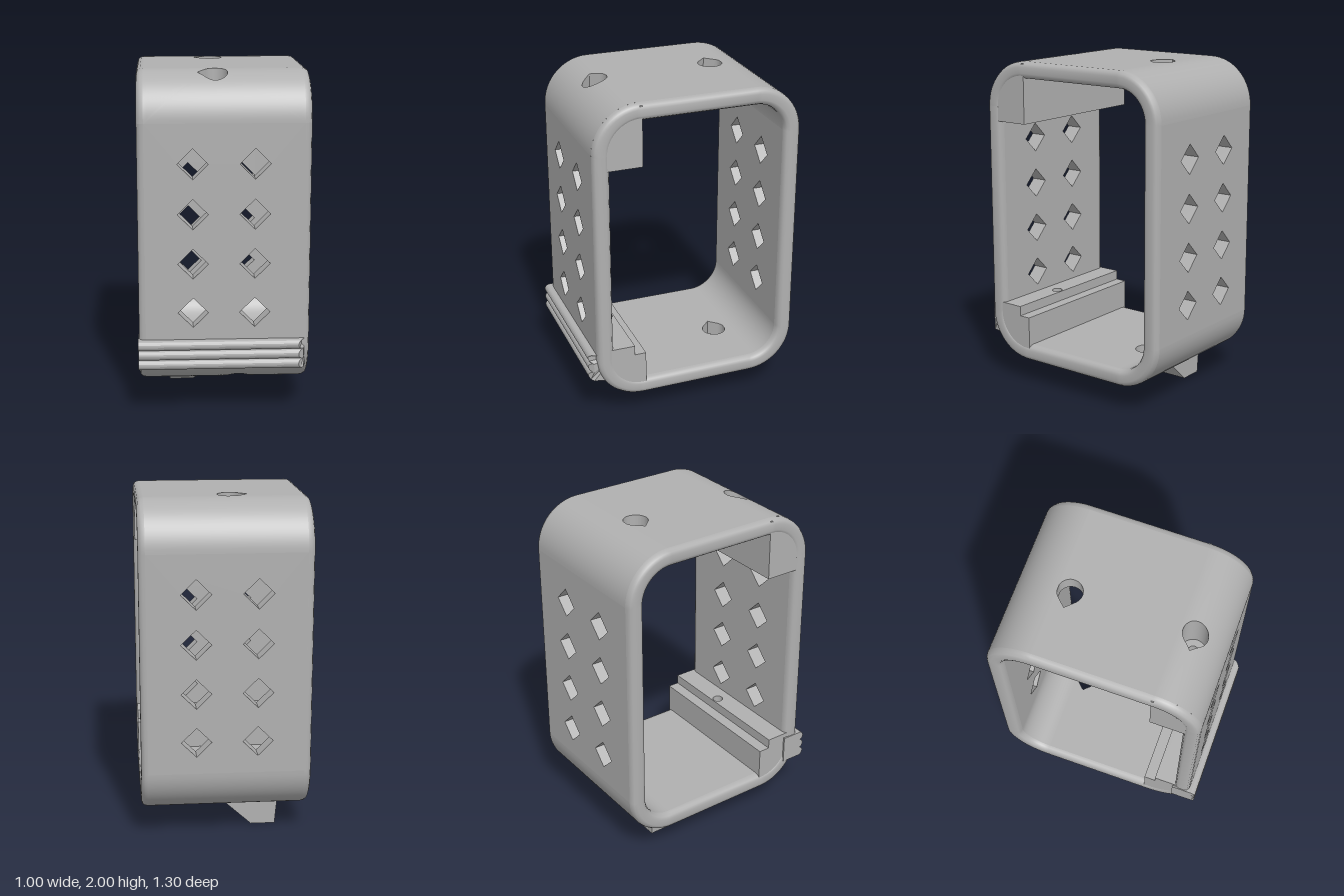
import * as THREE from 'three';

const W = 0.495, EDGE = 0.455, R = 0.28, T = 0.1;      // half width, start of rounded rim, corner radius, wall
const ZF = 0.33, ZB = -0.37, YT = 1.72, YB = 0.43;     // corner centres
const HOLE_R = 0.072, TIP = 0.1;

// Surface through rows of points
function grid(rows) {
  const n = rows[0].length, index = [];
  for (let i = 0; i < rows.length - 1; i++)
    for (let j = 0; j < n - 1; j++) {
      const a = i * n + j, b = a + n;
      index.push(a, b, a + 1, b, b + 1, a + 1);
    }
  const g = new THREE.BufferGeometry().setFromPoints(rows.flat());
  g.setIndex(index);
  g.computeVertexNormals();
  return g;
}

// Sweep a section of [x, inset] points round chosen corners of the frame
function sweep(section, corners, close) {
  const centres = [[ZF, YT], [ZB, YT], [ZB, YB], [ZF, YB]], rows = [];
  for (const c of corners)
    for (let i = 0; i <= 16; i++) {
      const a = (c + i / 16) * Math.PI / 2;
      rows.push(section.map(([x, d]) => new THREE.Vector3(
        x, centres[c][1] + (R - d) * Math.sin(a), centres[c][0] + (R - d) * Math.cos(a))));
    }
  if (close) rows.push(rows[0].map(p => p.clone()));
  return grid(rows);
}

// Distance from teardrop centre to its edge; the point faces -x
function dropRadius(dx, dz) {
  const alpha = Math.acos(HOLE_R / TIP), phi = Math.abs(Math.atan2(dz, -dx));
  return phi < alpha ? HOLE_R / Math.cos(alpha - phi) : HOLE_R;
}

function dropPath(cx, cy) {
  const pts = [];
  for (let i = 0; i < 48; i++) {
    const a = i / 48 * Math.PI * 2, r = dropRadius(Math.cos(a), Math.sin(a));
    pts.push(new THREE.Vector2(cx + r * Math.cos(a), cy + r * Math.sin(a)));
  }
  return new THREE.Path(pts);
}

function rectShape(x0, x1, y0, y1, holes = []) {
  const s = new THREE.Shape([[x0, y0], [x1, y0], [x1, y1], [x0, y1]].map(p => new THREE.Vector2(...p)));
  s.holes.push(...holes);
  return s;
}
const slab = (shape, depth) => new THREE.ExtrudeGeometry(shape, { depth, bevelEnabled: false, curveSegments: 20 });

// Profile of [z, y] points extruded along x
function alongX(points, x0, x1) {
  const g = slab(new THREE.Shape(points.map(([z, y]) => new THREE.Vector2(-z, y))), x1 - x0);
  return g.rotateY(Math.PI / 2).translate(x0, 0, 0);
}

// Curved corner skin with a teardrop bore: skin and bore wall
function boredCorner(cx, cz, up) {
  const H = Math.PI / 2, border = [];
  const height = t => up > 0 ? YT + R * Math.cos(t) : YB - R * Math.cos(t);
  const side = (n, f) => { for (let i = 0; i < n; i++) border.push(f(i / n)); };
  side(72, s => [-EDGE + 2 * EDGE * s, 0]);
  side(24, s => [EDGE, H * s]);
  side(72, s => [EDGE - 2 * EDGE * s, H]);
  side(24, s => [-EDGE, H * (1 - s)]);
  border.push(border[0]);
  const skin = [], wall = [];
  for (const [bx, bt] of border) {
    const dx = bx - cx, dz = ZF + R * Math.sin(bt) - cz, len = Math.hypot(dx, dz);
    const r = dropRadius(dx, dz), hx = cx + dx / len * r, hz = cz + dz / len * r;
    const ht = Math.asin(Math.min(1, Math.max(0, (hz - ZF) / R)));
    const row = [];
    for (let k = 0; k <= 16; k++) {
      const t = ht + (bt - ht) * k / 16;
      row.push(new THREE.Vector3(hx + (bx - hx) * k / 16, height(t), ZF + R * Math.sin(t)));
    }
    skin.push(row);
    wall.push([row[0].clone(), new THREE.Vector3(hx, up > 0 ? YT : YB, hz)]);
  }
  return [grid(skin), grid(wall)];
}

export function createModel() {
  const model = new THREE.Group();
  model.name = 'mountingFrame';
  const grey = new THREE.MeshStandardMaterial({ color: 0xb0b0b0, side: THREE.DoubleSide });
  grey.name = 'plain grey';
  const add = (name, geometry, x = 0, y = 0, z = 0) => {
    const m = new THREE.Mesh(geometry, grey);
    m.name = name;
    m.position.set(x, y, z);
    model.add(m);
  };
  const box = (name, x0, x1, y0, y1, z0, z1) => add(name,
    new THREE.BoxGeometry(x1 - x0, y1 - y0, z1 - z0), (x0 + x1) / 2, (y0 + y1) / 2, (z0 + z1) / 2);

  // Upright walls with diamond vents
  const diamonds = [];
  for (const x of [-0.18, 0.175])
    for (const y of [0.62, 0.91, 1.2, 1.49])
      diamonds.push(new THREE.Path([[0.088, 0], [0, 0.088], [-0.088, 0], [0, -0.088]]
        .map(([a, b]) => new THREE.Vector2(x + a, y + b))));
  const wall = slab(rectShape(-EDGE, EDGE, YB, YT, diamonds), T);
  add('frontWall', wall, 0, 0, ZF + R - T);
  add('backWall', wall, 0, 0, ZB - R);

  // Top and bottom plates with teardrop holes
  const level = (shape, depth) => slab(shape, depth).rotateX(Math.PI / 2);
  add('topPlate', level(rectShape(-EDGE, EDGE, ZB, ZF, [dropPath(-0.045, -0.3)]), T), 0, YT + R, 0);
  add('bottomPlate', level(rectShape(-EDGE, EDGE, ZB, ZF, [dropPath(0.09, -0.3)]), T), 0, YB - R + T, 0);

  // Rounded back corners
  for (const c of [1, 2])
    for (const d of [0, T]) add('backCorner', sweep([[-EDGE, d], [EDGE, d]], [c], false));

  // Rounded rims round both open ends
  for (const s of [-1, 1]) {
    const rim = [[EDGE, 0], [0.472, 0.003], [0.488, 0.013], [W, 0.032], [W, 0.068], [0.488, 0.087], [0.472, 0.097], [EDGE, T]];
    add('rim', sweep(rim.map(([x, d]) => [s * x, d]), [0, 1, 2, 3], true));
    // End faces of the solid front corners
    const cap = start => new THREE.CircleGeometry(R - 0.035, 24, start, Math.PI / 2).rotateY(-Math.PI / 2);
    add('topBlockEnd', cap(0), s * 0.49, YT, ZF);
    add('bottomBlockEnd', cap(-Math.PI / 2), s * 0.49, YB, ZF);
  }

  // Solid front corners with counterbored screw holes
  for (const [name, x, up] of [['topBlock', -0.045, 1], ['bottomBlock', 0.09, -1]]) {
    const [skin, bore] = boredCorner(x, 0.42, up);
    add(name + 'Skin', skin);
    add(name + 'Bore', bore);
  }
  const screw = x => [new THREE.Path().absarc(x, 0.42, 0.032, 0, Math.PI * 2)];
  add('topBlock', level(rectShape(-0.49, 0.49, 0.32, 0.58, screw(-0.045)), 0.09), 0, YT, 0);
  box('topBlockBack', -0.49, 0.49, YT, 1.99, 0.32, 0.335);
  add('bottomBlock', level(rectShape(-0.49, 0.49, 0.38, 0.58, screw(0.09)), 0.06), 0, 0.49, 0);
  box('bottomBlockStep', -0.49, 0.49, 0.38, YB, 0.31, 0.385);
  box('bottomBlockBack', -0.49, 0.49, 0.17, YB, 0.31, 0.33);

  // Triple grip ridge, chamfered at one end
  const ridge = [[0.5, 0.285]];
  for (const y of [0.314, 0.372, 0.43])
    for (let i = 0; i <= 10; i++) {
      const a = -Math.PI / 2 + i / 10 * Math.PI;
      ridge.push([0.627 + 0.028 * Math.cos(a), y + 0.029 * Math.sin(a)]);
    }
  ridge.push([0.5, 0.46]);
  const ridges = alongX(ridge, -0.5, 0.49), rp = ridges.attributes.position;
  for (let i = 0; i < rp.count; i++)
    if (rp.getX(i) > 0) rp.setX(i, 0.49 - Math.max(0, rp.getZ(i) - 0.6) * 1.1);
  ridges.computeVertexNormals();
  add('gripRidges', ridges);

  // Pair of clip feet with an undercut slot, sloping on one side
  const feet = [
    [[0.04, 0.16], [0.04, 0.02], [0.02, 0], [-0.14, 0], [-0.14, 0.05], [-0.1, 0.08], [-0.09, 0.16]],
    [[-0.22, 0], [-0.4, 0], [-0.4, 0.16], [-0.27, 0.16], [-0.29, 0.1], [-0.22, 0.04]]];
  for (const profile of feet) {
    const g = alongX(profile, -0.33, 0), p = g.attributes.position;
    for (let i = 0; i < p.count; i++) {
      const y = p.getY(i);
      if (p.getX(i) > -0.1) p.setX(i, -0.17 + 1.1 * y);
      else if (y < 0.02) p.setX(i, -0.315);
    }
    g.computeVertexNormals();
    add('clipFoot', g);
  }
  return model;
}
